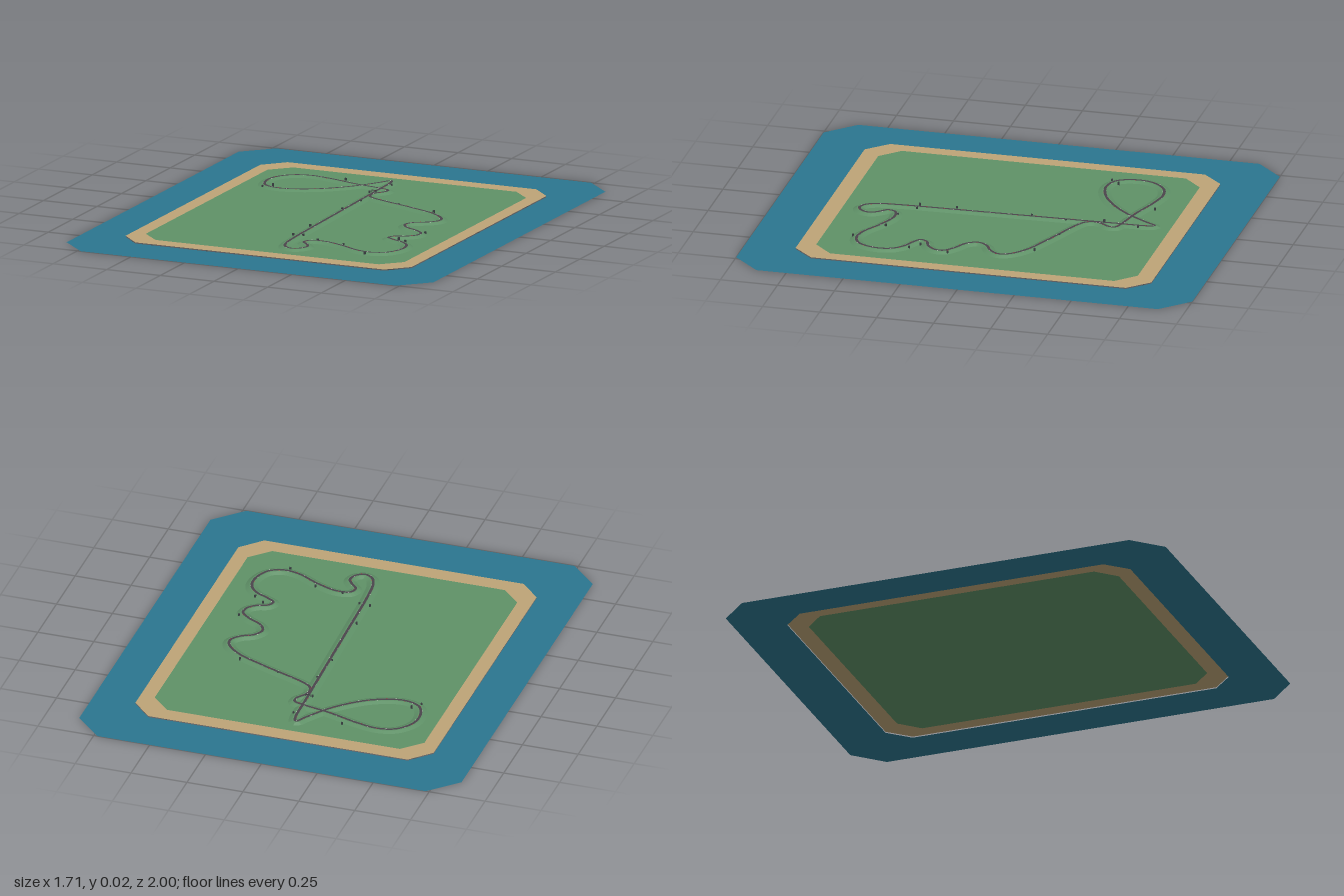
import * as THREE from 'three';

const GROUND = 0.005;
const mat = (color) => new THREE.MeshStandardMaterial({ color, side: THREE.DoubleSide, flatShading: true });

// Rectangle with chamfered corners: half sizes w, h and the points (cx, cz) where the chamfers start
function octagon(w, h, cx, cz, Type = THREE.Shape) {
  const pts = [[cx, -h], [w, -cz], [w, cz], [cx, h], [-cx, h], [-w, cz], [-w, -cz], [-cx, -h]];
  return new Type(pts.map(([x, y]) => new THREE.Vector2(x, y)));
}

function sheet(name, outer, inner, y, color) {
  const shape = octagon(...outer);
  if (inner) shape.holes.push(octagon(...inner, THREE.Path));
  const mesh = new THREE.Mesh(new THREE.ShapeGeometry(shape).rotateX(-Math.PI / 2), mat(color));
  mesh.position.y = y;
  mesh.name = name;
  return mesh;
}

// Centre line of the circuit as x, z pairs
const ROUTE = [
  [-0.032, -0.635], [-0.021, -0.61], [-0.015, -0.45], [-0.005, -0.1], [0.003, 0.2], [0.011, 0.46],
  [0.021, 0.56], [0.042, 0.61], [0.079, 0.63], [0.115, 0.61], [0.127, 0.57], [0.106, 0.535], [0.08, 0.505],
  [0.092, 0.47], [0.15, 0.46], [0.245, 0.492], [0.35, 0.546], [0.42, 0.555], [0.48, 0.525], [0.512, 0.445],
  [0.502, 0.38], [0.465, 0.338], [0.413, 0.312], [0.375, 0.285], [0.388, 0.255], [0.43, 0.238],
  [0.465, 0.205], [0.47, 0.163], [0.434, 0.127], [0.365, 0.085], [0.343, 0.042], [0.365, 0],
  [0.418, -0.032], [0.448, -0.074], [0.438, -0.116], [0.375, -0.175], [0.245, -0.235], [0.03, -0.322],
  [0.002, -0.345], [-0.008, -0.38], [0.004, -0.415], [0.026, -0.445], [0.026, -0.477], [-0.01, -0.492],
  [-0.138, -0.52], [-0.286, -0.566], [-0.38, -0.582], [-0.455, -0.561], [-0.508, -0.497], [-0.517, -0.423],
  [-0.487, -0.35], [-0.413, -0.323], [-0.286, -0.36], [-0.153, -0.466], [-0.063, -0.587],
];

// Track height: slightly lower on the western loop
const trackY = (x) => 0.0125 + 0.0015 * THREE.MathUtils.smoothstep(x, -0.4, 0.3);

// Sweep a cross-section of [side offset, height function] pairs along the route
function sweep(curve, section, segments) {
  const pos = [], index = [], n = section.length;
  for (let i = 0; i <= segments; i++) {
    const p = curve.getPointAt((i / segments) % 1), t = curve.getTangentAt((i / segments) % 1);
    for (const [d, height] of section) pos.push(p.x - t.z * d, height(p.x), p.z + t.x * d);
    if (i === segments) continue;
    for (let j = 0; j < n - 1; j++) {
      const a = i * n + j, b = a + n;
      index.push(a, a + 1, b, b, a + 1, b + 1);
    }
  }
  const geo = new THREE.BufferGeometry();
  geo.setAttribute('position', new THREE.Float32BufferAttribute(pos, 3));
  geo.setIndex(index.reverse());
  geo.computeVertexNormals();
  return geo;
}

export function createModel() {
  const group = new THREE.Group();
  const add = (name, geo, color) => {
    const mesh = new THREE.Mesh(geo, mat(color));
    mesh.name = name;
    group.add(mesh);
    return mesh;
  };

  // Water, beach and grass nested in one another
  const beach = [0.667, 0.78, 0.58, 0.69], lawn = [0.603, 0.705, 0.52, 0.623];
  group.add(sheet('water', [0.855, 1, 0.735, 0.88], beach, 0, 0x2b768f));
  group.add(sheet('beach', beach, lawn, GROUND, 0xbda477));
  group.add(sheet('grass', lawn, null, GROUND, 0x5f9167));

  // Embankment and road
  const curve = new THREE.CatmullRomCurve3(ROUTE.map(([x, z]) => new THREE.Vector3(x, 0, z)), true, 'centripetal');
  curve.arcLengthDivisions = 2000;
  const low = () => GROUND, top = (x) => trackY(x) - 0.0008;
  add('embankment', sweep(curve, [[-0.028, low], [-0.011, top], [0.011, top], [0.028, low]], 600), 0x5f9167);
  add('road', sweep(curve, [[-0.006, trackY], [0.006, trackY]], 600), 0x4b444c);

  // Kerb stones alternating red and white on both edges of the road
  const box = new THREE.BoxGeometry(1, 1, 1);
  for (let i = 0; i < 120; i++) {
    const u = i / 120, p = curve.getPointAt(u), t = curve.getTangentAt(u);
    const side = i % 4 < 2 ? 1 : -1;
    const kerb = add('kerb', box, i % 2 ? 0xb04a44 : 0xd8d4d0);
    kerb.scale.set(0.002, 0.0012, 0.005);
    kerb.position.set(p.x - t.z * side * 0.006, trackY(p.x), p.z + t.x * side * 0.006);
    kerb.rotation.y = Math.atan2(t.x, t.z);
  }

  // Small trackside huts
  const huts = [
    [-0.222, -0.587], [0, -0.57], [-0.032, -0.413], [0, -0.254], [-0.016, -0.1], [-0.016, 0.228],
    [-0.021, 0.392], [0.026, 0.392], [-0.46, -0.365], [-0.492, -0.328], [0.249, 0.471], [0.397, 0.577],
    [0.418, 0.275], [0.465, 0.312], [0.36, -0.21], [0.17, -0.27], [0.48, 0.14], [0.12, 0.45],
  ];
  huts.forEach(([x, z], i) => {
    const hut = add('hut', box, 0x3a3f42);
    const h = 0.011 + (i % 3) * 0.0015;
    hut.scale.set(0.007, h, 0.007);
    hut.position.set(x, GROUND + h / 2, z);
  });

  // Start gantry across the main straight
  const gantry = new THREE.Group();
  gantry.name = 'startGantry';
  for (const [x, y, w, h] of [[-0.01, 0.013, 0.002, 0.016], [0.01, 0.013, 0.002, 0.016], [0, 0.021, 0.022, 0.003]]) {
    const bar = new THREE.Mesh(box, mat(0x3a3f42));
    bar.name = 'gantryBar';
    bar.scale.set(w, h, 0.003);
    bar.position.set(x, y, 0);
    gantry.add(bar);
  }
  gantry.position.set(-0.015, 0, -0.42);
  group.add(gantry);

  return group;
}
